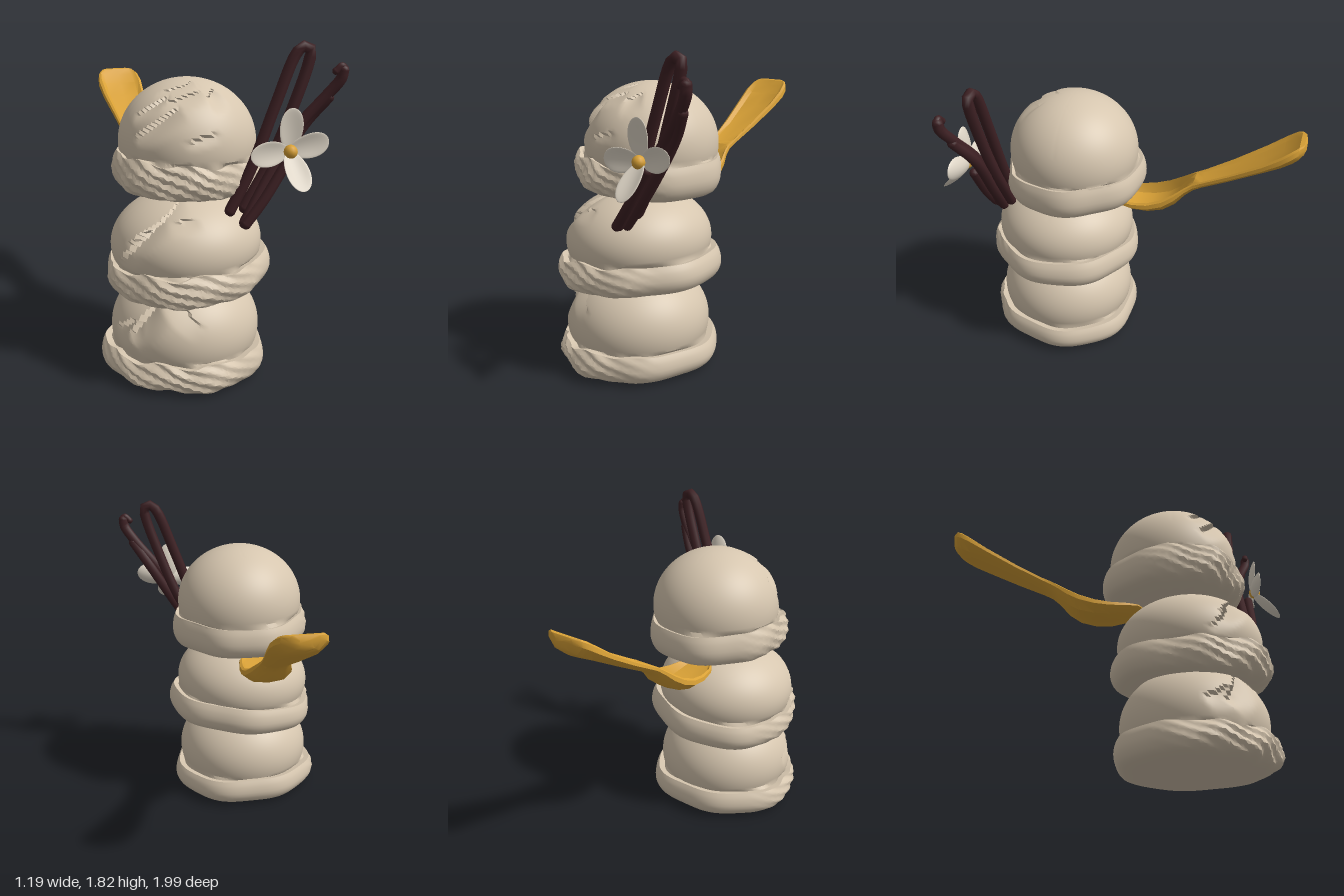
import * as THREE from 'three';
import { mergeVertices, toCreasedNormals } from 'three/addons/utils/BufferGeometryUtils.js';

const mat = (name, color, extra = {}) => Object.assign(new THREE.MeshStandardMaterial({ color, ...extra }), { name });
const V = (p) => new THREE.Vector3(...p);

function add(parent, name, geometry, material, pos = [0, 0, 0]) {
  const m = new THREE.Mesh(geometry, material);
  m.name = name;
  m.position.set(...pos);
  parent.add(m);
  return m;
}

// Rounded dome over a lumpy skirt, with slanted scars [angle, height, length, width, slope, depth]
function scoopGeometry({ rimR, rimH, domeR, cy, ry, scars, seed }) {
  const rim = new THREE.SplineCurve([[0.78, 0], [0.93, 0.12], [1, 0.42], [0.99, 0.75], [0.95, 0.97]]
    .map(([r, h]) => new THREE.Vector2(r * rimR, h * rimH))).getPoints(12);
  const pts = [new THREE.Vector2(0, 0), new THREE.Vector2(rimR * 0.4, 0), ...rim];
  const start = Math.asin((rimH - 0.012 - cy) / ry);
  for (let i = 0; i <= 36; i++) {
    const t = start + (Math.PI / 2 - start) * i / 36;
    pts.push(new THREE.Vector2(i === 36 ? 0 : domeR * Math.cos(t), cy + ry * Math.sin(t)));
  }
  let g = new THREE.LatheGeometry(pts, 110);
  g.deleteAttribute('uv');
  g.deleteAttribute('normal');
  g = mergeVertices(g, 1e-4);
  const p = g.attributes.position;
  for (let i = 0; i < p.count; i++) {
    const x = p.getX(i), y = p.getY(i), z = p.getZ(i), r = Math.hypot(x, z);
    if (r < 0.01) continue;
    const a = Math.atan2(x, z);
    // the skirt is rougher towards the front right
    const rough = Math.max(0, Math.cos(a + 0.6));
    let d = 0, dy = 0;
    if (y < rimH && r > rimR * 0.6) {
      d = 0.01 * Math.sin(3 * a + seed) + 0.007 * Math.sin(7 * a + 2 * seed)
        + rough * 0.015 * Math.sin(13 * a + 45 * y + seed) * Math.sin(70 * y + 5 * a);
      dy = (y / rimH) * (0.008 * Math.sin(2 * a + seed) + rough * 0.012 * Math.sin(9 * a + seed));
    } else if (y >= rimH) {
      for (const [sa, sy, len, wid, slope, depth] of scars) {
        const u = (a - sa) * domeR, v = y - sy;
        const s = (u * Math.cos(slope) + v * Math.sin(slope)) / len;
        const w = (v * Math.cos(slope) - u * Math.sin(slope)) / wid;
        if (Math.abs(s) < 1 && Math.abs(w) < 1) d -= depth * (1 - s * s) * (w + 1) / 2;
      }
    }
    p.setXYZ(i, x * (1 + d / r), y + dy, z * (1 + d / r));
  }
  return toCreasedNormals(g, 0.55);
}

// Spoon lofted along z; station: [z, top, bottom, half width, recess, centre x]
function spoonGeometry() {
  const stations = [
    [0.15, 0.985, 0.975, 0.02, 0, -0.155], [0.12, 0.99, 0.96, 0.07, 0.005, -0.155], [0.06, 0.985, 0.935, 0.11, 0.025, -0.155],
    [-0.04, 0.985, 0.915, 0.132, 0.05, -0.158], [-0.13, 1.0, 0.917, 0.14, 0.06, -0.16], [-0.22, 1.035, 0.94, 0.135, 0.065, -0.16],
    [-0.29, 1.08, 0.985, 0.117, 0.055, -0.16], [-0.345, 1.12, 1.05, 0.095, 0.02, -0.16], [-0.39, 1.15, 1.09, 0.085, 0, -0.158],
    [-0.44, 1.175, 1.12, 0.088, 0.012, -0.155], [-0.6, 1.262, 1.2, 0.11, 0.022, -0.15], [-0.78, 1.37, 1.295, 0.138, 0.022, -0.147],
    [-0.88, 1.44, 1.345, 0.146, 0.022, -0.146], [-0.935, 1.48, 1.375, 0.135, 0.015, -0.146], [-0.965, 1.497, 1.395, 0.115, 0, -0.146],
    [-0.99, 1.5, 1.42, 0.075, 0, -0.146], [-1.0, 1.48, 1.44, 0.03, 0, -0.146]];
  const pos = [], idx = [], n = 12;
  for (const [z, top, bot, w, rec, cx] of stations) {
    const h = top - bot;
    const ring = [[1, top - 0.4 * h], [0.97, top - 0.1 * h], [0.86, top], [0.68, top - rec], [0, top - rec * 1.15], [-0.68, top - rec],
      [-0.86, top], [-0.97, top - 0.1 * h], [-1, top - 0.4 * h], [-0.66, bot + 0.13 * h], [0, bot], [0.66, bot + 0.13 * h]];
    for (const [x, y] of ring) pos.push(cx + x * w, y, z);
  }
  for (let i = 0; i < stations.length - 1; i++) for (let j = 0; j < n; j++) {
    const a = i * n + j, b = i * n + (j + 1) % n, c = b + n, d = a + n;
    idx.push(a, d, b, d, c, b);
  }
  const last = (stations.length - 1) * n;
  for (let j = 1; j < n - 1; j++) idx.push(0, j, j + 1, last, last + j + 1, last + j);
  const g = new THREE.BufferGeometry();
  g.setAttribute('position', new THREE.Float32BufferAttribute(pos, 3));
  g.setIndex(idx);
  return toCreasedNormals(g, 0.6);
}

// Cupped oval petal growing from its base along +y
function petalGeometry(len, width) {
  const g = new THREE.SphereGeometry(1, 20, 14);
  const p = g.attributes.position;
  for (let i = 0; i < p.count; i++) {
    const x = p.getX(i), y = p.getY(i), z = p.getZ(i);
    const w = width * (0.9 + 0.12 * y);
    p.setXYZ(i, x * w, (y + 1) * len / 2, z * 0.012 + 0.022 * x * x + 0.012 * y * y - 0.012);
  }
  g.computeVertexNormals();
  return g;
}

export function createModel() {
  const model = new THREE.Group();
  model.name = 'scoopTower';
  const cream = mat('cream', 0xd6c6af);
  const gold = mat('gold', 0xd9a136);
  const podBrown = mat('podBrown', 0x3d2023);
  const petalWhite = mat('petalWhite', 0xddd4c5);

  // Three stacked scoops
  const scoops = [
    { name: 'bottomScoop', pos: [-0.14, 0.01, 0.415], tilt: 0, rimR: 0.452, rimH: 0.17, domeR: 0.41, cy: 0.25, ry: 0.33, seed: 1,
      scars: [[-0.85, 0.33, 0.13, 0.08, 0.9, 0.05], [-0.45, 0.42, 0.16, 0.05, -0.6, 0.025], [-1.2, 0.28, 0.1, 0.06, 0.5, 0.03]] },
    { name: 'middleScoop', pos: [-0.115, 0.49, 0.405], tilt: 0.07, rimR: 0.45, rimH: 0.185, domeR: 0.412, cy: 0.25, ry: 0.29, seed: 2.6,
      scars: [[-0.7, 0.4, 0.22, 0.05, 0.55, 0.04], [-0.95, 0.31, 0.18, 0.05, 0.75, 0.035], [-0.3, 0.42, 0.1, 0.03, 0.1, 0.02]] },
    { name: 'topScoop', pos: [-0.105, 1.015, 0.325], tilt: -0.03, rimR: 0.408, rimH: 0.205, domeR: 0.375, cy: 0.26, ry: 0.342, seed: 4.2,
      scars: [[-0.75, 0.36, 0.16, 0.05, 0.6, 0.04], [-0.4, 0.5, 0.16, 0.03, 0.2, 0.035], [0.3, 0.5, 0.08, 0.045, 0.3, 0.035],
        [-1.0, 0.45, 0.12, 0.03, 0.5, 0.03], [-0.6, 0.55, 0.2, 0.02, 0.15, 0.03], [-0.1, 0.32, 0.1, 0.025, 0.3, 0.02]] }];
  for (const s of scoops) add(model, s.name, scoopGeometry(s), cream, s.pos).rotation.z = s.tilt;

  add(model, 'spoon', spoonGeometry(), gold);

  // Vanilla pods, each strand a round-ended tube
  const pods = new THREE.Group();
  pods.name = 'vanillaPods';
  model.add(pods);
  const strand = (name, r, points) => {
    add(pods, name, new THREE.TubeGeometry(new THREE.CatmullRomCurve3(points.map(V)), 48, r, 8), podBrown);
    for (const e of [points[0], points[points.length - 1]]) add(pods, name + 'End', new THREE.SphereGeometry(r, 8, 6), podBrown, e);
  };
  // tall pod folded over at its top
  strand('foldedPod', 0.031, [[0.02, 0.96, 0.67], [0.13, 1.18, 0.68], [0.25, 1.5, 0.69], [0.355, 1.765, 0.7], [0.39, 1.8, 0.705],
    [0.43, 1.785, 0.71], [0.425, 1.73, 0.71], [0.35, 1.5, 0.7], [0.24, 1.22, 0.68], [0.1, 0.97, 0.67]]);
  // pod with a curled tip and its paired strand
  strand('curledPod', 0.03, [[0.06, 0.92, 0.77], [0.2, 1.15, 0.75], [0.36, 1.4, 0.745], [0.49, 1.56, 0.79], [0.55, 1.65, 0.825],
    [0.555, 1.69, 0.83]]);
  strand('curledTip', 0.019, [[0.55, 1.65, 0.825], [0.565, 1.69, 0.83], [0.545, 1.71, 0.83], [0.515, 1.685, 0.825]]);
  strand('pairedStrand', 0.03, [[0.08, 0.915, 0.73], [0.22, 1.11, 0.72], [0.4, 1.4, 0.725], [0.5, 1.55, 0.79]]);
  strand('shortPod', 0.028, [[0.06, 0.92, 0.79], [0.15, 1.04, 0.8], [0.28, 1.24, 0.8]]);

  // Blossom: [turn around centre, forward tilt, length]
  const flower = new THREE.Group();
  flower.name = 'flower';
  flower.position.set(0.27, 1.295, 0.825);
  model.add(flower);
  for (const [turn, tilt, len] of [[0, 0.12, 0.225], [-1.35, 0.15, 0.215], [1.6, 0.15, 0.225], [3.2, 0.78, 0.24]]) {
    const holder = new THREE.Group();
    holder.name = 'petalHolder';
    holder.rotation.z = turn;
    flower.add(holder);
    add(holder, 'petal', petalGeometry(len, 0.072), petalWhite).rotation.x = tilt;
  }
  add(flower, 'flowerCentre', new THREE.SphereGeometry(0.036, 12, 8), gold, [0, 0, 0.02]);

  return model;
}
